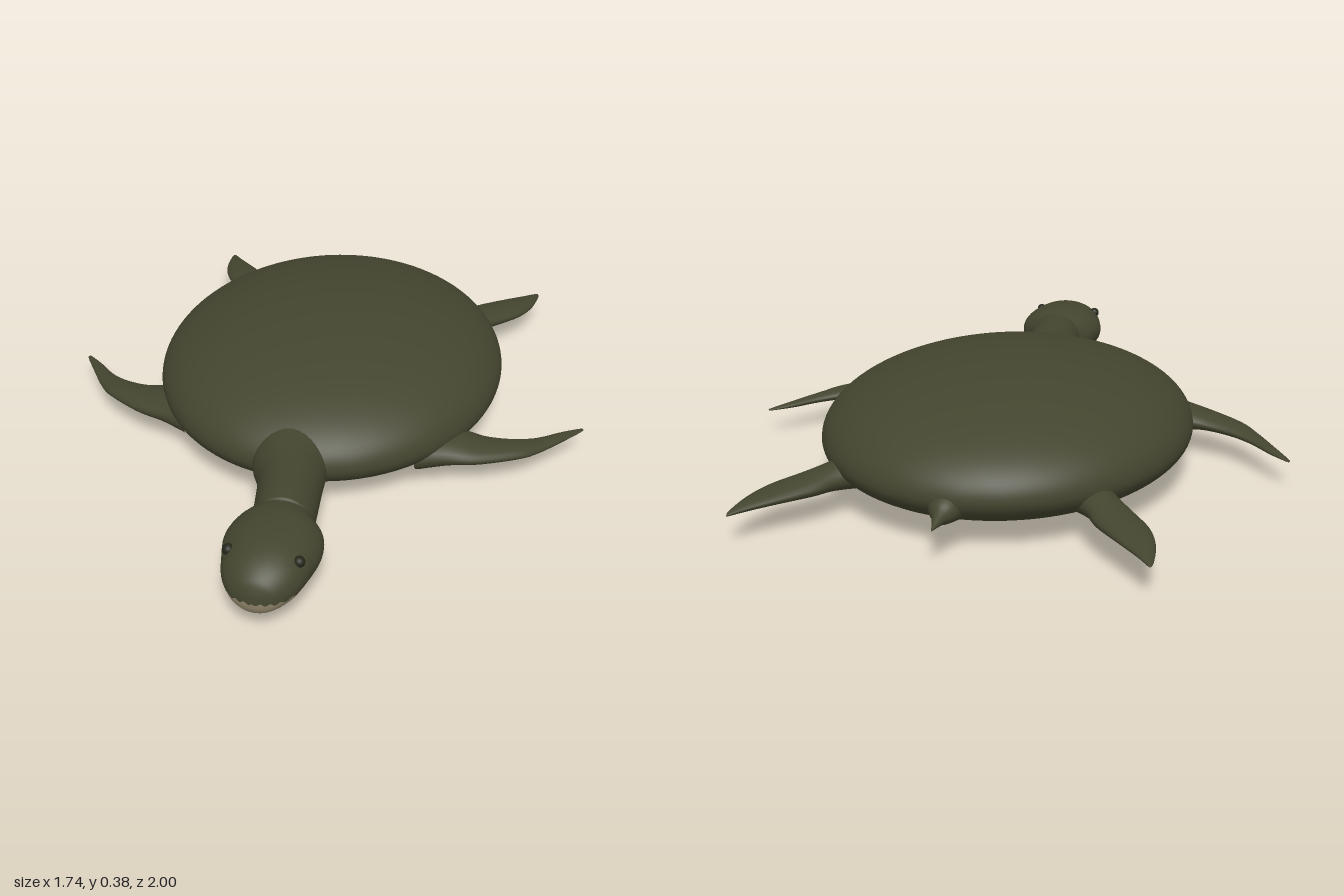
import * as THREE from 'three';
import { mergeVertices } from 'three/addons/utils/BufferGeometryUtils.js';

const { sin, cos, PI } = Math;

// Smooth surface from a rule fn(u, v) -> [x, y, z]; outside is along du x dv.
function surface(nu, nv, fn) {
  const pos = [], idx = [];
  for (let j = 0; j <= nv; j++) {
    for (let i = 0; i <= nu; i++) pos.push(...fn(i / nu, j / nv));
  }
  const w = nu + 1;
  for (let j = 0; j < nv; j++) {
    for (let i = 0; i < nu; i++) {
      const a = j * w + i;
      idx.push(a, a + 1, a + w + 1, a, a + w + 1, a + w);
    }
  }
  let g = new THREE.BufferGeometry();
  g.setAttribute('position', new THREE.Float32BufferAttribute(pos, 3));
  g.setIndex(idx);
  g = mergeVertices(g, 1e-5);
  g.computeVertexNormals();
  return g;
}

// Oval tube through sections [leftX, leftZ, rightX, rightZ, centreY, halfHeight].
// range(y, h) gives the first and last angle around each oval.
function loft(sections, nu, nv, range = () => [0, 2 * PI]) {
  const curve = (f) => new THREE.CatmullRomCurve3(sections.map(f), false, 'catmullrom', 0.5);
  const left = curve((s) => new THREE.Vector3(s[0], 0, s[1]));
  const right = curve((s) => new THREE.Vector3(s[2], 0, s[3]));
  const height = curve((s) => new THREE.Vector3(s[4], s[5], 0));
  return surface(nu, nv, (u, v) => {
    const l = left.getPoint(v), r = right.getPoint(v), { x: y, y: hh } = height.getPoint(v);
    const h = Math.max(hh, 0.0005);
    const [a0, a1] = range(y, h, v);
    const a = a0 + (a1 - a0) * u, c = cos(a);
    return [(l.x + r.x) / 2 + (l.x - r.x) / 2 * c, y + h * sin(a),
      (l.z + r.z) / 2 + (l.z - r.z) / 2 * c];
  });
}

const mirror = (sections) => sections.map(([a, b, c, d, y, h]) => [-c, d, -a, b, y, h]);

export function createModel() {
  const olive = new THREE.MeshStandardMaterial({ color: 0x44452f });
  olive.name = 'dark olive skin';
  const pale = new THREE.MeshStandardMaterial({ color: 0x8f846a });
  pale.name = 'pale underside';
  const dark = new THREE.MeshStandardMaterial({ color: 0x25261b });
  dark.name = 'eye';

  const model = new THREE.Group();
  model.name = 'turtle';
  const add = (name, geometry, material) => {
    const m = new THREE.Mesh(geometry, material);
    m.name = name;
    model.add(m);
    return m;
  };

  // Domed shell above a flatter belly, meeting along a wavy line
  const edge = (p) => 2.25 + 0.03 * sin(13 * p) + 0.02 * sin(29 * p + 1);
  const body = (p, t) => {
    const c = cos(t), s = Math.max(sin(t), 0);
    const r = c > 0 ? s : Math.pow(s, 0.85);
    return [-0.57 * sin(p) * r, 0.17 + (c > 0 ? 0.22 : 0.163) * c, -0.235 + 0.655 * cos(p) * r];
  };
  add('shell', surface(128, 40, (u, v) => body(u * 2 * PI, v * edge(u * 2 * PI))), olive);
  add('belly', surface(128, 14, (u, v) => {
    const e = edge(u * 2 * PI);
    return body(u * 2 * PI, e + (PI - e) * v);
  }), pale);

  // Neck, leaning to the model's left
  add('neck', loft([
    [0.15, 0.28, -0.13, 0.28, 0.165, 0.115],
    [0.145, 0.38, -0.085, 0.42, 0.163, 0.106],
    [0.152, 0.47, -0.045, 0.5, 0.163, 0.102],
    [0.172, 0.63, -0.012, 0.65, 0.165, 0.098],
    [0.165, 0.665, 0.0, 0.68, 0.167, 0.084],
    [0.1, 0.69, 0.06, 0.69, 0.167, 0.02],
  ], 36, 36), olive);

  // Head, split along the mouth line
  const head = [
    [0.165, 0.6, -0.005, 0.6, 0.17, 0.07],
    [0.178, 0.66, -0.01, 0.66, 0.175, 0.077],
    [0.222, 0.72, -0.042, 0.72, 0.176, 0.087],
    [0.234, 0.79, -0.055, 0.79, 0.173, 0.092],
    [0.22, 0.87, -0.037, 0.87, 0.168, 0.09],
    [0.2, 0.93, -0.017, 0.93, 0.16, 0.079],
    [0.165, 0.975, 0.018, 0.975, 0.15, 0.058],
    [0.13, 0.993, 0.055, 0.993, 0.143, 0.032],
    [0.093, 1.0, 0.092, 1.0, 0.14, 0.001],
  ];
  const mouth = (y, h, v) => {
    const rise = THREE.MathUtils.smoothstep(v, 0.4, 0.56);
    const line = 0.07 + 0.07 * rise + 0.004 * sin(v * 70) * rise;
    return Math.asin(THREE.MathUtils.clamp((line - y) / h, -1, 1));
  };
  add('head', loft(head, 44, 64, (y, h, v) => {
    const b = mouth(y, h, v);
    return [b, PI - b];
  }), olive);
  add('lowerJaw', loft(head, 24, 64, (y, h, v) => {
    const b = mouth(y, h, v);
    return [PI - b, 2 * PI + b];
  }), pale);

  // Eyes
  for (const [name, side] of [['leftEye', 1], ['rightEye', -1]]) {
    const eye = add(name, new THREE.SphereGeometry(0.017, 16, 12), dark);
    eye.position.set(0.091 + side * 0.103, 0.217, 0.878);
  }

  // Flippers, swept backwards and thinning to the tip
  const front = [
    [0.42, 0.0, 0.38, 0.22, 0.125, 0.06],
    [0.52, 0.015, 0.47, 0.185, 0.125, 0.042],
    [0.58, 0.015, 0.57, 0.155, 0.12, 0.028],
    [0.66, -0.005, 0.69, 0.085, 0.113, 0.021],
    [0.73, -0.045, 0.745, 0.03, 0.106, 0.015],
    [0.8, -0.108, 0.81, -0.06, 0.1, 0.01],
    [0.857, -0.153, 0.865, -0.14, 0.096, 0.003],
    [0.862, -0.152, 0.863, -0.151, 0.096, 0.001],
  ];
  const rear = [
    [0.29, -0.68, 0.4, -0.58, 0.13, 0.055],
    [0.365, -0.75, 0.445, -0.665, 0.128, 0.04],
    [0.41, -0.815, 0.5, -0.725, 0.122, 0.03],
    [0.485, -0.89, 0.56, -0.8, 0.116, 0.022],
    [0.55, -0.95, 0.592, -0.88, 0.11, 0.015],
    [0.59, -0.992, 0.604, -0.97, 0.105, 0.006],
    [0.599, -1.0, 0.6, -0.999, 0.103, 0.001],
  ];
  for (const [name, s] of [['FrontFlipper', front], ['RearFlipper', rear]]) {
    add('left' + name, loft(s, 24, 40), olive);
    add('right' + name, loft(mirror(s), 24, 40), olive);
  }

  // Short pointed tail
  add('tail', loft([
    [-0.07, -0.82, 0.07, -0.82, 0.15, 0.06],
    [-0.042, -0.89, 0.042, -0.89, 0.142, 0.038],
    [-0.02, -0.925, 0.02, -0.925, 0.135, 0.02],
    [-0.001, -0.985, 0.001, -0.985, 0.125, 0.001],
  ], 20, 20), olive);

  return model;
}
